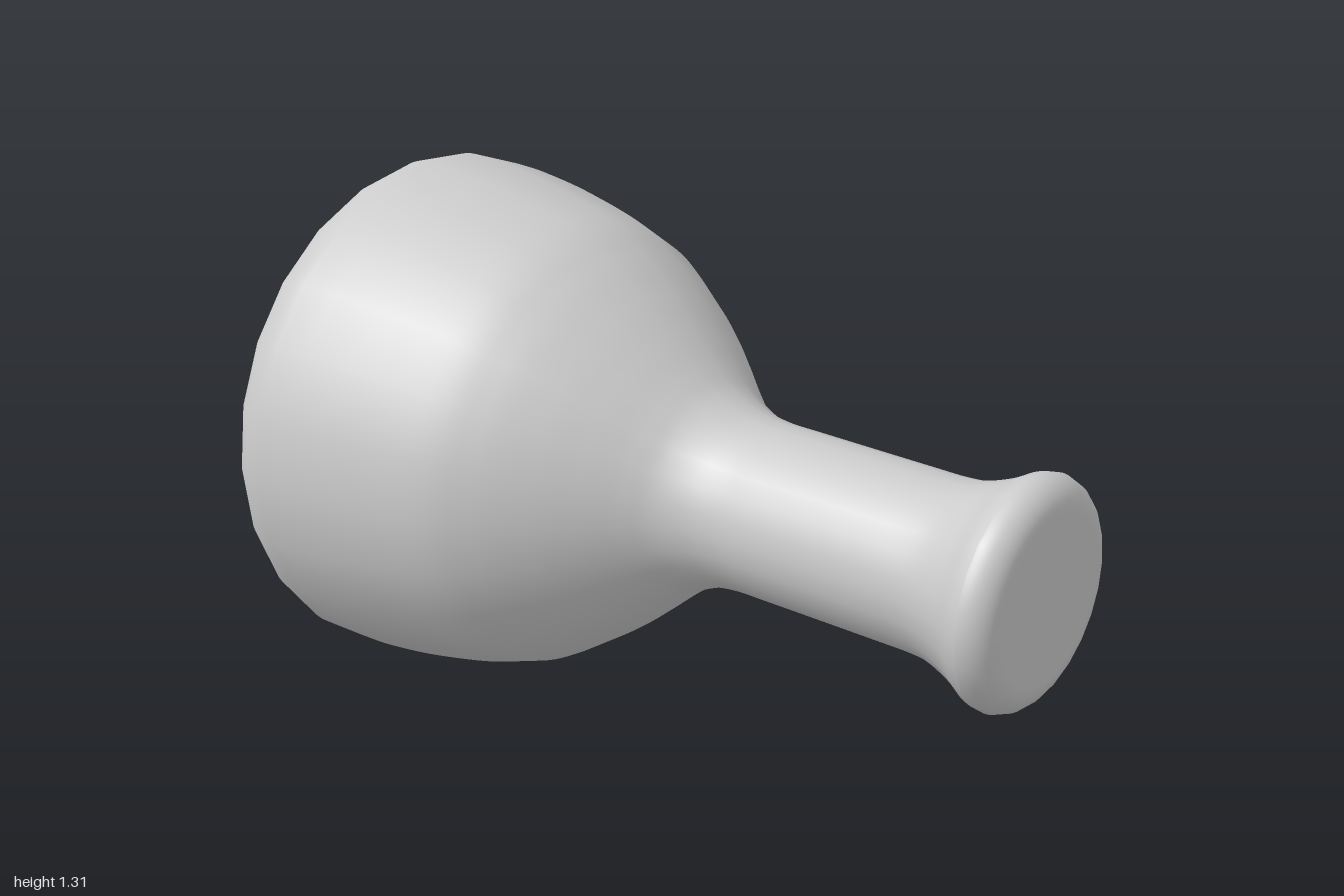
import * as THREE from 'three';

const SIDES = 24;
const CENTRE_Y = 0.655;

// Profile in (radius, z), from the wide back end to the front knob
function makeProfile() {
  const path = new THREE.Path();
  path.moveTo(0.515, -1);
  // rounded rim of the wide end
  path.absellipse(0.515, -0.86, 0.14, 0.14, -Math.PI / 2, 0, false);
  // swelling bulb, waist, straight handle and flare
  path.splineThru([
    [0.65, -0.76], [0.628, -0.6], [0.582, -0.4], [0.523, -0.28],
    [0.445, -0.17], [0.37, -0.08], [0.3, 0], [0.255, 0.06],
    [0.225, 0.13], [0.213, 0.2], [0.212, 0.3], [0.212, 0.6],
    [0.213, 0.71], [0.222, 0.78], [0.247, 0.85], [0.275, 0.9], [0.285, 0.93],
  ].map(([r, z]) => new THREE.Vector2(r, z)));
  // rounded edge of the knob
  path.absellipse(0.21, 0.93, 0.075, 0.07, 0, Math.PI / 2, false);
  return path.getPoints(8).filter((p, i, all) => i === 0 || p.distanceTo(all[i - 1]) > 1e-4);
}

export function createModel() {
  const group = new THREE.Group();
  const material = new THREE.MeshStandardMaterial({ color: 0xcccccc });

  const add = (name, geometry, z = 0) => {
    const mesh = new THREE.Mesh(geometry, material);
    mesh.name = name;
    mesh.position.set(0, CENTRE_Y, z);
    group.add(mesh);
  };

  // Turned body, its axis laid along z
  add('bulbAndHandle', new THREE.LatheGeometry(makeProfile(), SIDES).rotateX(Math.PI / 2));

  // Flat ends
  add('knobFace', new THREE.CircleGeometry(0.21, SIDES), 1);
  add('bulbBase', new THREE.CircleGeometry(0.515, SIDES).rotateY(Math.PI), -1);

  return group;
}
